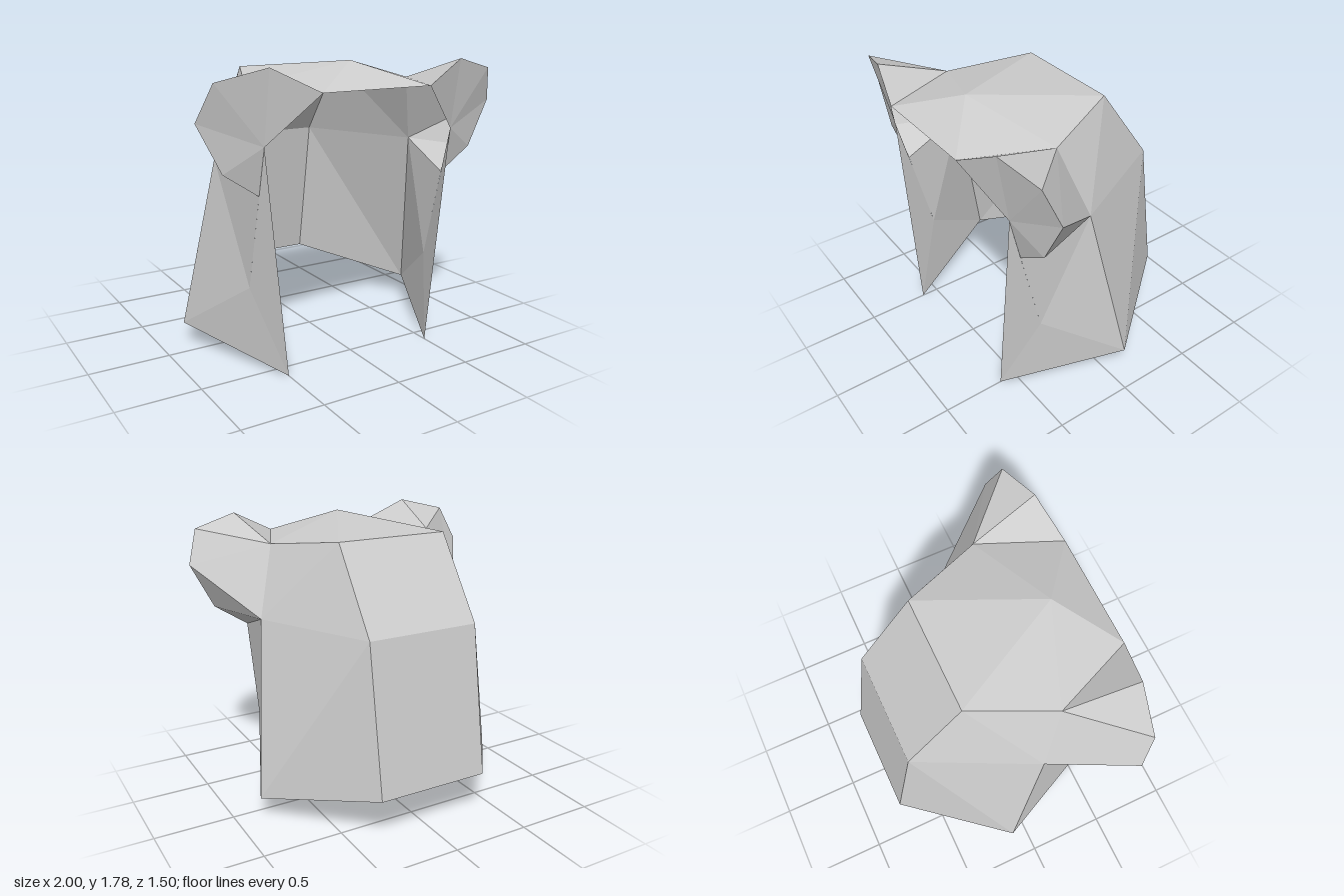
import * as THREE from 'three';

// Corner points of the left half; the right half is mirrored
const P = {
  cheekTip: [0.5, 0, 0.61], sideLow: [0.855, 0.145, -0.11], backLow: [0.36, 0.29, -0.75],
  backMid: [0.36, 1.22, -0.605], backTop: [0.36, 1.715, -0.25], crown: [0, 1.785, 0.46],
  sideMid: [0.71, 1.22, 0.11], sideTop: [0.57, 1.645, 0.25], cheekMid: [0.64, 0.5, 0.4],
  brow: [0.36, 1.645, 0.75], temple: [0.64, 1.36, 0.61],
  ear1: [0.64, 1.785, 0.68], ear2: [0.925, 1.715, 0.61], ear3: [1, 1.505, 0.535],
  ear4: [0.855, 1.22, 0.54], ear5: [0.64, 1.075, 0.54],
};

// A trailing ' names the mirrored point
function point(name) {
  const [x, y, z] = P[name.replace("'", '')];
  return name.endsWith("'") ? [-x, y, z] : [x, y, z];
}

// Flat panels, each a space-separated loop of corners, fanned into triangles
function panels(name, loops, material, mirrored = false) {
  const positions = [];
  for (const loop of loops) {
    const c = loop.split(' ').map(point);
    if (mirrored) {
      c.forEach((p) => { p[0] = -p[0]; });
      c.reverse();
    }
    for (let i = 1; i < c.length - 1; i++) positions.push(...c[0], ...c[i], ...c[i + 1]);
  }
  const geometry = new THREE.BufferGeometry();
  geometry.setAttribute('position', new THREE.Float32BufferAttribute(positions, 3));
  geometry.computeVertexNormals();
  const mesh = new THREE.Mesh(geometry, material);
  mesh.name = name;
  return mesh;
}

export function createModel() {
  const group = new THREE.Group();
  group.name = 'earedHood';
  const cloth = new THREE.MeshStandardMaterial({ color: 0xcccccc, side: THREE.DoubleSide, flatShading: true });
  cloth.name = 'light grey';

  // Centre panels: crown and back of the head
  group.add(panels('crownCentre', ["crown backTop backTop'", "crown brow' brow"], cloth));
  group.add(panels('backPanel', [
    "backTop backMid backMid' backTop'", "backMid backLow backLow' backMid'",
  ], cloth));

  // Paired panels
  const pairs = {
    Crown: ['crown sideTop backTop', 'crown brow sideTop'],
    Side: ['backTop sideTop sideMid', 'backTop sideMid backMid',
      'backMid sideMid sideLow', 'backMid sideLow backLow'],
    Cheek: ['sideMid ear5 cheekMid', 'sideMid cheekMid sideLow',
      'cheekMid cheekTip sideLow', 'temple cheekTip cheekMid'],
    EarFront: ['temple ear1 brow', 'temple ear2 ear1', 'temple ear3 ear2',
      'temple ear4 ear3', 'temple ear5 ear4'],
    EarBack: ['brow ear1 sideTop', 'sideTop ear1 ear2', 'sideTop ear2 ear3 sideMid',
      'sideMid ear3 ear4', 'sideMid ear4 ear5'],
  };
  for (const [part, loops] of Object.entries(pairs)) {
    group.add(panels('left' + part, loops, cloth));
    group.add(panels('right' + part, loops, cloth, true));
  }
  return group;
}
